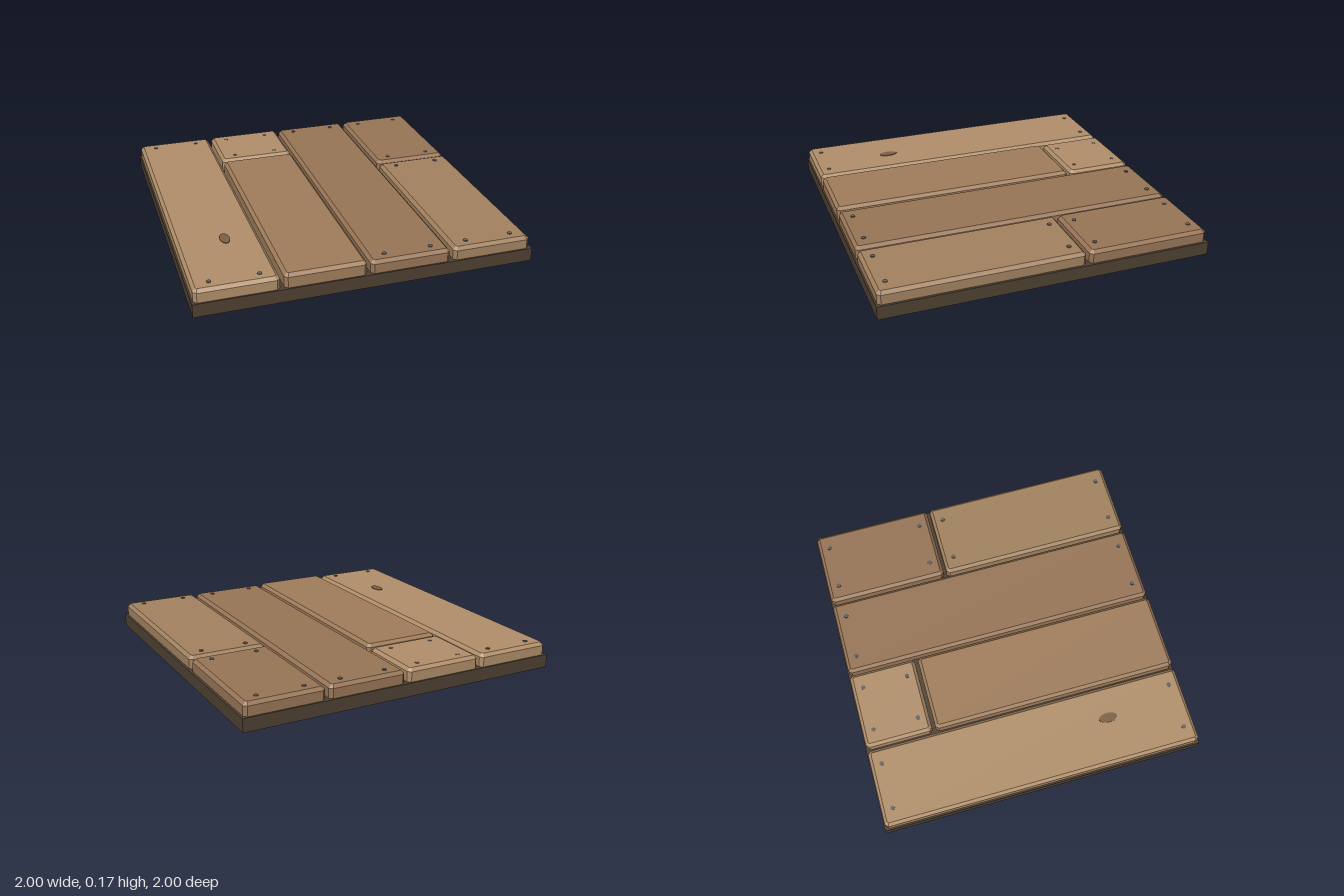
import * as THREE from 'three';

const BASE_TOP = 0.08;
const CHAMFER = 0.019;
const NAIL_TOP = 0.162;

function material(color) {
  return new THREE.MeshStandardMaterial({ color, flatShading: true });
}

// Plank with cut corners and chamfered upper edges, its underside sunk in the base
function plankGeometry(x0, x1, z0, z1, top) {
  const w = (x1 - x0) / 2, d = (z1 - z0) / 2, c = CHAMFER, bottom = 0.045;
  const shape = new THREE.Shape([
    [-w + c, -d], [w - c, -d], [w, -d + c], [w, d - c],
    [w - c, d], [-w + c, d], [-w, d - c], [-w, -d + c],
  ].map(([x, y]) => new THREE.Vector2(x, y)));
  const geometry = new THREE.ExtrudeGeometry(shape, {
    depth: top - bottom - 2 * c, bevelEnabled: true, bevelSegments: 1,
    bevelThickness: c, bevelSize: c, bevelOffset: -c,
  });
  geometry.rotateX(-Math.PI / 2);
  return geometry.translate((x0 + x1) / 2, bottom + c, (z0 + z1) / 2);
}

export function createModel() {
  const model = new THREE.Group();
  model.name = 'plankFloorTile';
  const add = (name, geometry, mat) => {
    const mesh = new THREE.Mesh(geometry, mat);
    mesh.name = name;
    model.add(mesh);
    return mesh;
  };

  // Dark base slab
  add('base', new THREE.BoxGeometry(2, BASE_TOP, 2).translate(0, BASE_TOP / 2, 0), material(0x4e4032));

  // Planks in four columns, with the z positions of their nail rows
  const planks = [
    { name: 'rightPlank', x: [-0.99, -0.512], z: [-0.99, 0.99], top: 0.158, color: 0xb08e69, nails: [-0.92, 0.92] },
    { name: 'midRightBackPlank', x: [-0.49, -0.012], z: [-0.99, -0.572], top: 0.16, color: 0xb08e69, nails: [-0.92, -0.64] },
    { name: 'midRightFrontPlank', x: [-0.49, -0.012], z: [-0.55, 0.99], top: 0.165, color: 0xa07d5b, nails: [] },
    { name: 'midLeftPlank', x: [0.008, 0.486], z: [-0.99, 0.99], top: 0.157, color: 0x987556, nails: [-0.92, 0.92] },
    { name: 'leftBackPlank', x: [0.508, 0.986], z: [-0.99, -0.24], top: 0.158, color: 0x987556, nails: [-0.92, -0.31] },
    { name: 'leftFrontPlank', x: [0.508, 0.986], z: [-0.22, 0.99], top: 0.157, color: 0xa28260, nails: [-0.15, 0.92] },
  ];
  const nailGeometry = new THREE.CylinderGeometry(0.014, 0.014, 0.02, 8);
  const nailMaterial = material(0x66615d);
  for (const p of planks) {
    add(p.name, plankGeometry(...p.x, ...p.z, p.top), material(p.color));
    const middle = (p.x[0] + p.x[1]) / 2;
    for (const z of p.nails) {
      for (const side of [-1, 1]) {
        add('nail', nailGeometry, nailMaterial).position.set(middle + side * 0.14, NAIL_TOP - 0.01, z);
      }
    }
  }

  // Oval wood knot
  const knot = add('knot', new THREE.CylinderGeometry(0.03, 0.03, 0.02, 12), material(0x7b6044));
  knot.scale.z = 1.95;
  knot.position.set(-0.71, NAIL_TOP - 0.01, 0.49);

  return model;
}
